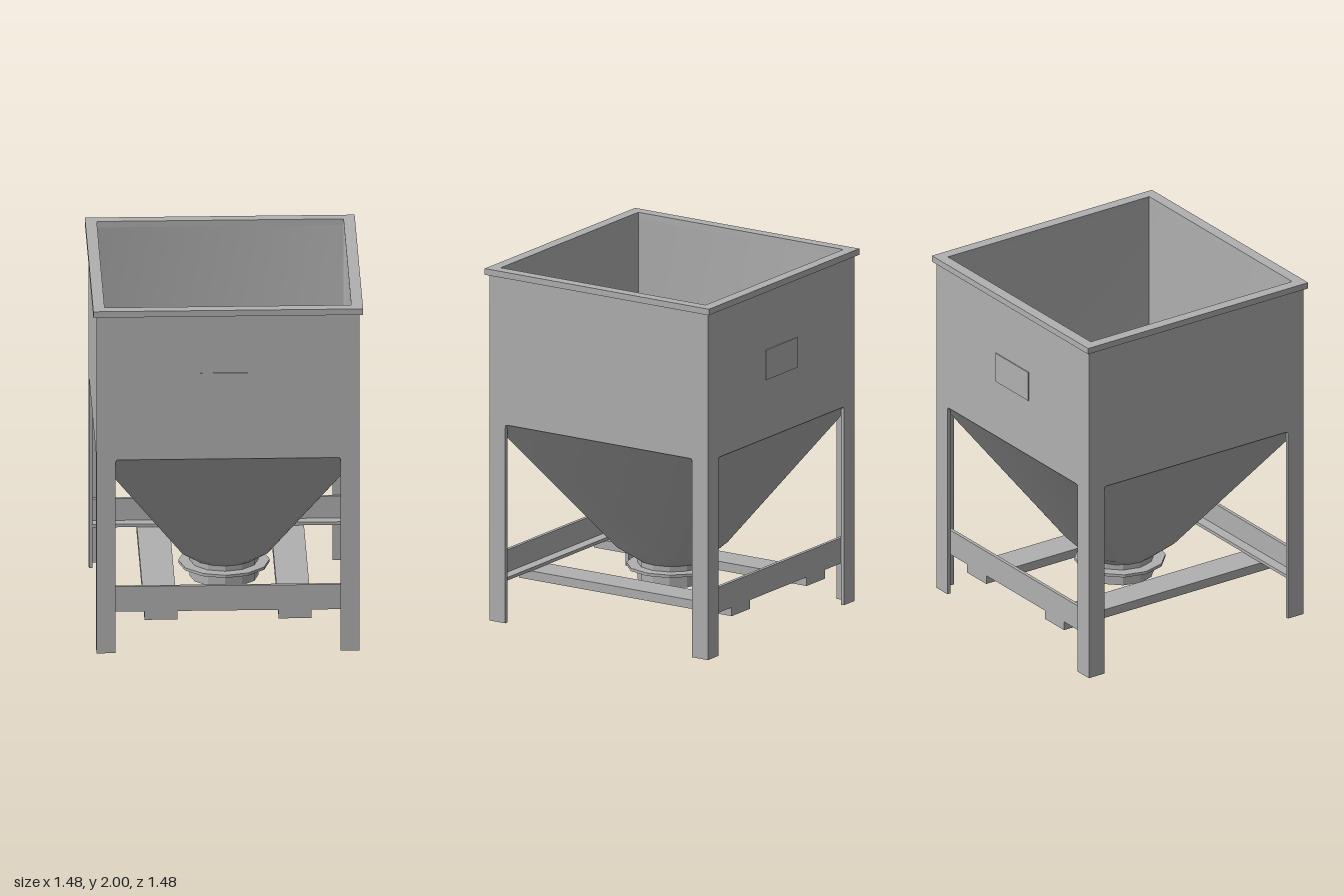
import * as THREE from 'three';
import { toCreasedNormals } from 'three/addons/utils/BufferGeometryUtils.js';

const steel = new THREE.MeshStandardMaterial({ color: 0xb0b0b0 });
steel.name = 'grey steel';

function add(parent, name, geometry, x = 0, y = 0, z = 0) {
  const mesh = new THREE.Mesh(geometry, steel);
  mesh.name = name;
  mesh.position.set(x, y, z);
  parent.add(mesh);
  return mesh;
}

const box = (w, h, d) => new THREE.BoxGeometry(w, h, d);

// Points of a rounded square, four corners of five points each
function ring([half, radius, y]) {
  const points = [];
  for (let c = 0; c < 4; c++) {
    const mid = Math.PI / 4 + c * Math.PI / 2;
    const cx = Math.sign(Math.cos(mid)) * (half - radius);
    const cz = Math.sign(Math.sin(mid)) * (half - radius);
    for (let i = 0; i < 5; i++) {
      const a = c * Math.PI / 2 + i * Math.PI / 8;
      points.push([cx + radius * Math.cos(a), y, cz + radius * Math.sin(a)]);
    }
  }
  return points;
}

// Skin between rounded squares listed from top to bottom
function loft(sections, inward = false) {
  const rings = sections.map(ring);
  const positions = [];
  for (let r = 0; r < rings.length - 1; r++) {
    const top = rings[r], low = rings[r + 1], n = top.length;
    for (let i = 0; i < n; i++) {
      const j = (i + 1) % n;
      const quad = inward
        ? [top[i], low[i], top[j], top[j], low[i], low[j]]
        : [top[i], top[j], low[i], top[j], low[j], low[i]];
      quad.forEach(p => positions.push(...p));
    }
  }
  const geometry = new THREE.BufferGeometry();
  geometry.setAttribute('position', new THREE.Float32BufferAttribute(positions, 3));
  geometry.computeVertexNormals();
  return toCreasedNormals(geometry, 0.5);
}

// Wall sheet that runs down into two leg flanges
function wallSheet(half) {
  const s = new THREE.Shape();
  const leg = 0.615, cut = 1.127, r = 0.015;
  s.moveTo(-half, 0);
  s.lineTo(-leg, 0);
  s.lineTo(-leg, cut - r);
  s.quadraticCurveTo(-leg, cut, -leg + r, cut);
  s.lineTo(leg - r, cut);
  s.quadraticCurveTo(leg, cut, leg, cut - r);
  s.lineTo(leg, 0);
  s.lineTo(half, 0);
  s.lineTo(half, 1.97);
  s.lineTo(-half, 1.97);
  return new THREE.ExtrudeGeometry(s, { depth: 0.02, bevelEnabled: false, curveSegments: 4 });
}

function squarePath(path, h) {
  path.moveTo(-h, -h);
  path.lineTo(h, -h);
  path.lineTo(h, h);
  path.lineTo(-h, h);
  path.closePath();
  return path;
}

export function createModel() {
  const model = new THREE.Group();
  model.name = 'hopper';

  // Four walls with corner legs
  for (let i = 0; i < 4; i++) {
    const side = new THREE.Group();
    side.name = 'wallSide';
    side.rotation.y = i * Math.PI / 2;
    add(side, 'wallAndLegs', wallSheet(i % 2 ? 0.7 : 0.72), 0, 0, 0.7);
    model.add(side);
  }

  // Rim around the opening
  const rimShape = squarePath(new THREE.Shape(), 0.738);
  rimShape.holes.push(squarePath(new THREE.Path(), 0.675));
  const rimGeometry = new THREE.ExtrudeGeometry(rimShape, { depth: 0.035, bevelEnabled: false });
  rimGeometry.rotateX(-Math.PI / 2);
  add(model, 'rim', rimGeometry, 0, 1.965, 0);

  // Funnel, square at the top and round at the outlet
  add(model, 'funnelOutside', loft([[0.715, 0.012, 1.127], [0.237, 0.06, 0.38], [0.188, 0.188, 0.303]]));
  add(model, 'funnelInside', loft([[0.675, 0.001, 1.966], [0.675, 0.001, 1.1], [0.235, 0.001, 0.41]], true));
  const floor = new THREE.PlaneGeometry(0.47, 0.47);
  floor.rotateX(-Math.PI / 2);
  add(model, 'funnelFloor', floor, 0, 0.41, 0);

  // Outlet neck and its flange
  const drum = (r, h) => toCreasedNormals(new THREE.CylinderGeometry(r, r, h, 12), 0.3);
  add(model, 'outletNeck', drum(0.188, 0.127), 0, 0.2435, 0);
  add(model, 'outletFlange', drum(0.25, 0.016), 0, 0.264, 0);

  for (const s of [1, -1]) {
    // Angle bars across the front and back
    add(model, 'crossBar', box(1.4, 0.145, 0.02), 0, 0.3075, s * 0.69);
    add(model, 'crossBarFlange', box(1.4, 0.018, 0.06), 0, 0.244, s * 0.65);
    // Rails below the cross bars
    add(model, 'rail', box(0.18, 0.05, 1.4), s * 0.367, 0.21, 0);
    // Card plates on front and back
    add(model, 'cardPlate', box(0.31, 0.17, 0.008), 0, 1.545, s * 0.722);
  }
  return model;
}
